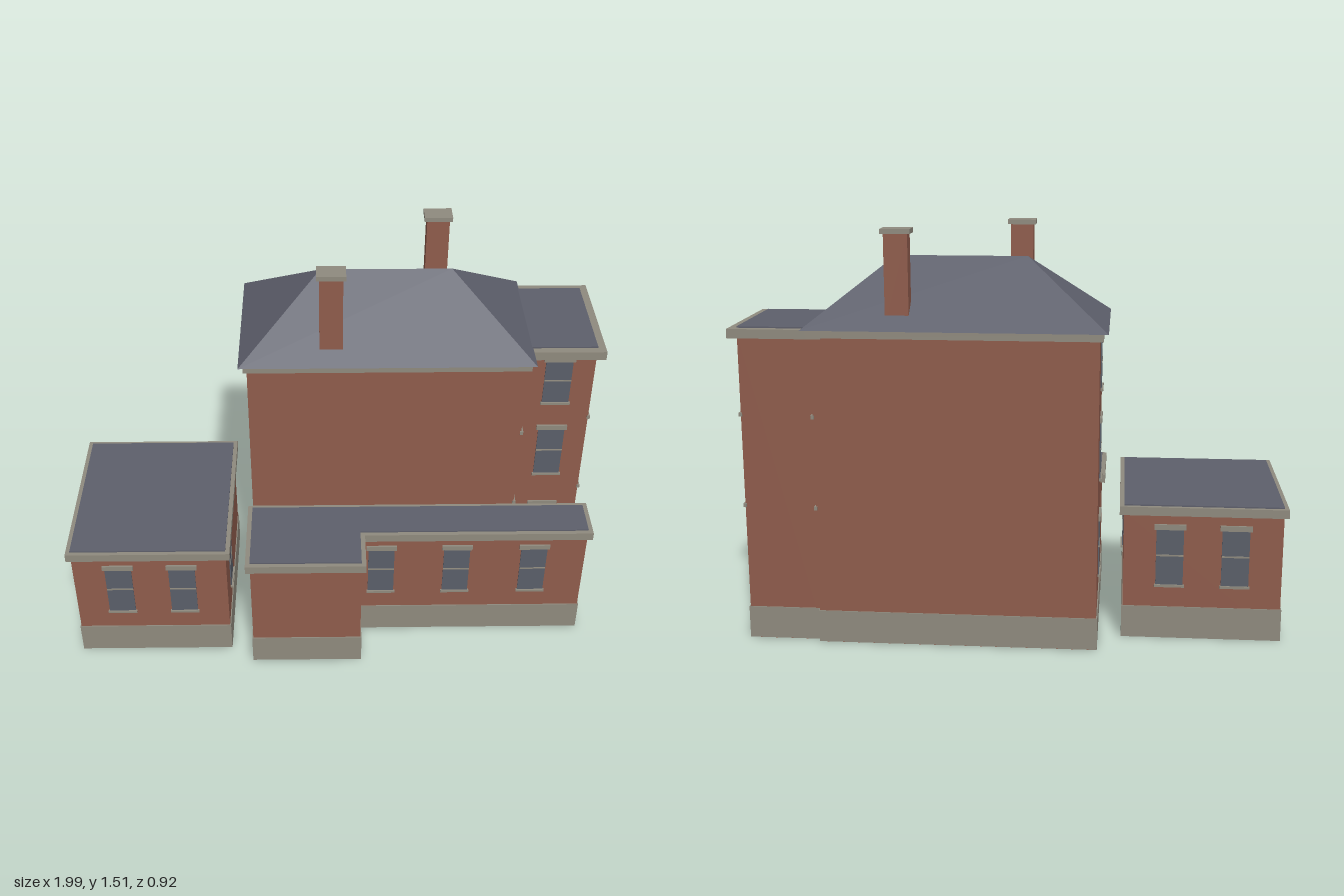
import * as THREE from 'three';

const mat = (name, color) => {
  const m = new THREE.MeshStandardMaterial({ color });
  m.name = name;
  return m;
};

export function createModel() {
  const brick = mat('brick', 0x8f5c4c);
  const stone = mat('stone', 0x8f8a7e);
  const slate = mat('slate', 0x5d5f6b);
  const glass = mat('glass', 0x5a5f69);
  const house = new THREE.Group();
  house.name = 'house';

  const add = (parent, name, geometry, material) => {
    const mesh = new THREE.Mesh(geometry, material);
    mesh.name = name;
    parent.add(mesh);
    return mesh;
  };

  // Box given by its limits on each axis
  const block = (parent, name, material, [x0, x1], [y0, y1], [z0, z1]) => {
    const mesh = add(parent, name, new THREE.BoxGeometry(x1 - x0, y1 - y0, z1 - z0), material);
    mesh.position.set((x0 + x1) / 2, (y0 + y1) / 2, (z0 + z1) / 2);
    return mesh;
  };

  // Upright prism over a plan outline of [x, z] points
  const prism = (parent, name, material, plan, y0, y1) => {
    const shape = new THREE.Shape(plan.map(([x, z]) => new THREE.Vector2(x, -z)));
    const geometry = new THREE.ExtrudeGeometry(shape, { depth: y1 - y0, bevelEnabled: false });
    geometry.rotateX(-Math.PI / 2);
    add(parent, name, geometry, material).position.y = y0;
  };

  // A wing: brick walls, stone plinth and cornice, flat slate roof.
  // plan(o) gives the wall outline pushed outward by o.
  const wing = (name, plan, wallBase, plinthBase, corniceY, top, overhang) => {
    const g = new THREE.Group();
    g.name = name;
    house.add(g);
    prism(g, 'walls', brick, plan(0), wallBase, corniceY + 0.01);
    prism(g, 'plinth', stone, plan(0.004), plinthBase, 0.122);
    prism(g, 'cornice', stone, plan(overhang), corniceY, top);
    prism(g, 'flatRoof', slate, plan(0), top - 0.01, top + 0.005);
    return g;
  };
  const rect = (x0, x1, z0, z1) => (o) =>
    [[x0 - o, z0 - o], [x0 - o, z1 + o], [x1 + o, z1 + o], [x1 + o, z0 - o]];

  // Sash window on a wall, turned by angle about y
  const sashWindow = (x, z, angle, [y0, y1]) => {
    const g = new THREE.Group();
    g.name = 'window';
    const h = y1 - y0;
    block(g, 'pane', glass, [-0.05, 0.05], [0, h - 0.015], [-0.004, 0.004]);
    block(g, 'meetingRail', stone, [-0.05, 0.05], [h / 2 - 0.004, h / 2 + 0.002], [-0.002, 0.006]);
    block(g, 'lintel', stone, [-0.058, 0.058], [h - 0.02, h], [-0.004, 0.008]);
    block(g, 'sill', stone, [-0.055, 0.055], [-0.005, 0.004], [-0.004, 0.01]);
    g.position.set(x, y0, z);
    g.rotation.y = angle;
    house.add(g);
  };
  const floors = [[0.205, 0.44], [0.58, 0.815], [0.92, 1.125]];
  const LEFT = Math.PI / 2, RIGHT = -Math.PI / 2, BACK = Math.PI;

  // Main block
  const main = new THREE.Group();
  main.name = 'mainBlock';
  house.add(main);
  block(main, 'walls', brick, [-0.312, 0.7], [0, 1.15], [-0.425, 0.105]);
  block(main, 'plinth', stone, [-0.316, 0.704], [0.002, 0.122], [-0.429, 0.109]);
  block(main, 'cornice', stone, [-0.325, 0.713], [1.135, 1.164], [-0.438, 0.118]);

  // Hipped roof: four eave corners and a two-point ridge
  const eave = [[-0.342, 1.165, 0.134], [0.728, 1.165, 0.134], [0.728, 1.165, -0.462], [-0.342, 1.165, -0.462]];
  const ridge = [[-0.045, 1.397, -0.164], [0.435, 1.397, -0.164]];
  const [a, b, c, d] = eave, [r, s] = ridge;
  const triangles = [a, b, s, a, s, r, b, c, s, c, d, r, c, r, s, d, a, r, a, d, c, a, c, b];
  const roofGeometry = new THREE.BufferGeometry();
  roofGeometry.setAttribute('position', new THREE.Float32BufferAttribute(triangles.flat(), 3));
  roofGeometry.computeVertexNormals();
  add(main, 'hippedRoof', roofGeometry, slate);

  // Chimneys
  for (const [x, z] of [[-0.008, 0.05], [0.395, -0.373]]) {
    const g = new THREE.Group();
    g.name = 'chimney';
    block(g, 'stack', brick, [-0.042, 0.042], [1.168, 1.497], [-0.028, 0.028]);
    block(g, 'cap', stone, [-0.052, 0.052], [1.495, 1.512], [-0.038, 0.038]);
    g.position.set(x, 0, z);
    house.add(g);
  }

  // Tall side wing
  wing('sideWing', rect(0.69, 0.965, -0.404, 0.01), 0, 0.002, 1.13, 1.163, 0.029);

  // String courses on the side walls
  for (const y of [0.512, 0.85]) {
    block(house, 'stringCourse', stone, [0.96, 0.972], [y - 0.007, y + 0.007], [-0.408, 0.014]);
    block(house, 'stringCourse', stone, [0.695, 0.707], [y - 0.007, y + 0.007], [-0.429, 0.109]);
  }

  // Low L-shaped front wing
  const ell = (o) => [
    [-0.313 - o, 0.128 - o], [-0.313 - o, 0.441 + o], [0.1 + o, 0.441 + o],
    [0.1 + o, 0.272 + o], [0.965 + o, 0.272 + o], [0.965 + o, 0.128 - o],
  ];
  wing('frontWing', ell, 0, 0.002, 0.476, 0.508, 0.017);

  // Detached annex
  wing('annex', rect(-0.984, -0.406, -0.285, 0.37), 0.01, 0, 0.476, 0.508, 0.016);

  // Windows
  for (const floor of floors) {
    sashWindow(0.832, 0.01, 0, floor);
    for (const z of [-0.116, -0.273]) sashWindow(0.965, z, LEFT, floor);
    sashWindow(-0.312, -0.155, RIGHT, floor);
  }
  for (const x of [0.182, 0.472, 0.768]) sashWindow(x, 0.272, 0, floors[0]);
  for (const x of [-0.814, -0.575]) {
    sashWindow(x, 0.37, 0, floors[0]);
    sashWindow(x, -0.285, BACK, floors[0]);
  }
  sashWindow(-0.984, 0.19, RIGHT, floors[0]);
  sashWindow(-0.406, 0.19, LEFT, floors[0]);

  return house;
}
